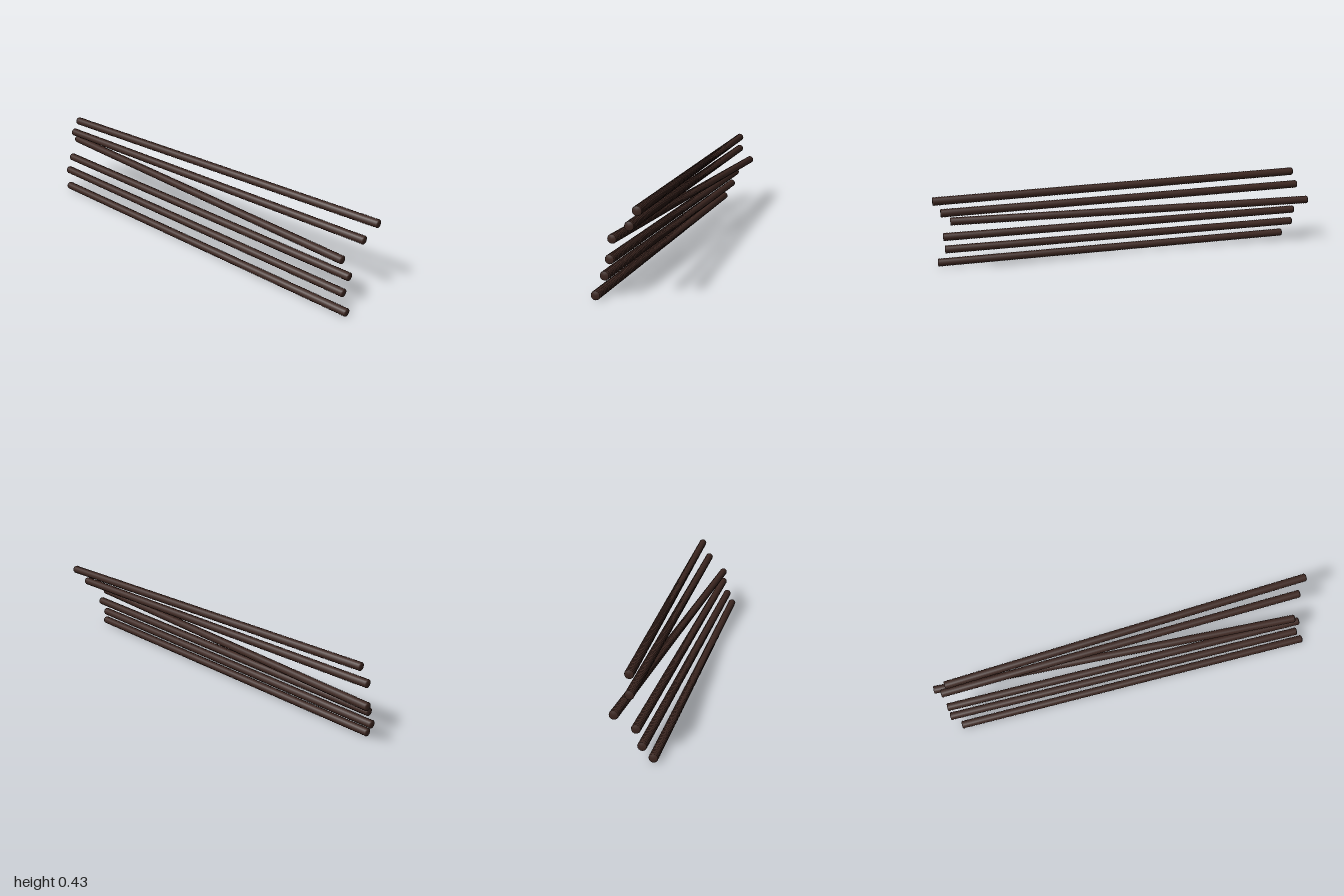
import * as THREE from 'three';

const RADIUS = 0.0215, ROOT = 0.0185, LENGTH = 1.92, RIDGES = 144;

// Ridged bar lying along x, closed at both ends
function createBarGeometry() {
  const pitch = LENGTH / RIDGES;
  const profile = [new THREE.Vector2(0, -LENGTH / 2)];
  for (let i = 0; i <= RIDGES * 2; i++) {
    profile.push(new THREE.Vector2(i % 2 ? RADIUS : ROOT, -LENGTH / 2 + i * pitch / 2));
  }
  profile.push(new THREE.Vector2(0, LENGTH / 2));
  return new THREE.LatheGeometry(profile, 16).rotateZ(-Math.PI / 2);
}

export function createModel() {
  const model = new THREE.Group();
  model.name = 'stackOfRidgedBars';
  const darkBrown = new THREE.MeshStandardMaterial({ color: 0x3d2721 });
  darkBrown.name = 'darkBrown';
  const geometry = createBarGeometry();

  // Each bar: centre x, z at its right end (-x), z at its left end (+x)
  const bars = [
    [0.035, 0.105, 0.094],
    [-0.005, 0.068, 0.069],
    [0, 0.041, 0.041],
    [-0.04, -0.042, 0.048],
    [0.005, 0.015, -0.053],
    [0.04, 0.005, -0.104],
  ];
  bars.forEach(([x, zRight, zLeft], i) => {
    const bar = new THREE.Mesh(geometry, darkBrown);
    bar.name = `ridgedBar${i + 1}`;
    bar.position.set(x, RADIUS + i * 0.0772, (zRight + zLeft) / 2);
    bar.rotation.y = Math.atan2(zRight - zLeft, LENGTH);
    model.add(bar);
  });
  return model;
}
